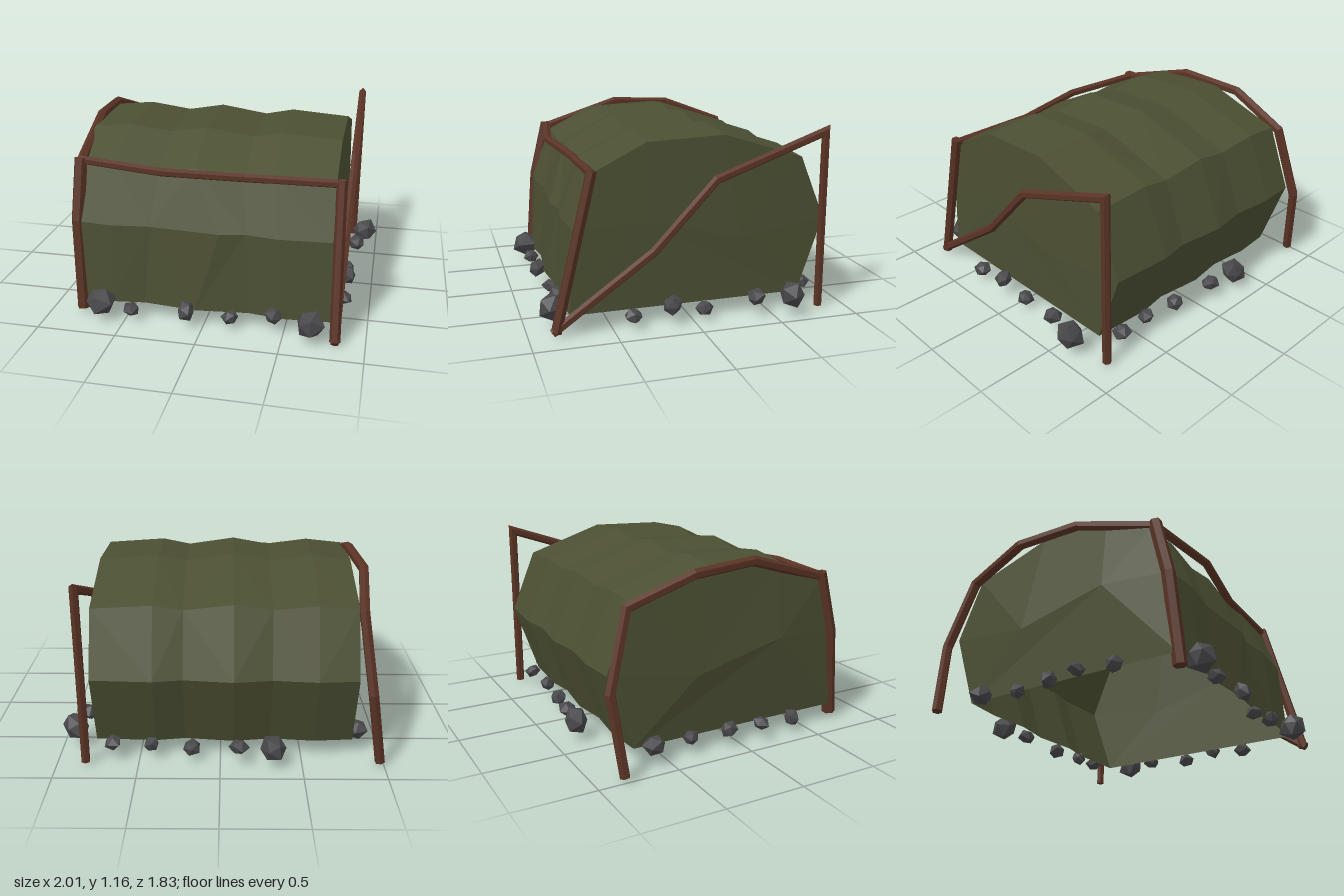
import * as THREE from 'three';

const canvasMat = new THREE.MeshStandardMaterial({ color: 0x4b4f32, flatShading: true, side: THREE.DoubleSide });
const woodMat = new THREE.MeshStandardMaterial({ color: 0x5a3325, flatShading: true });
const rockMat = new THREE.MeshStandardMaterial({ color: 0x48484b, flatShading: true });

const V = (a) => new THREE.Vector3(...a);

function meshFromTriangles(points, material, name) {
  const geo = new THREE.BufferGeometry().setFromPoints(points);
  geo.computeVertexNormals();
  const mesh = new THREE.Mesh(geo, material);
  mesh.name = name;
  return mesh;
}

// Mitred polygonal pole that follows a list of points
function pole(name, radius, path, sides = 6) {
  const p = path.map(V);
  const dirs = p.slice(1).map((q, i) => q.clone().sub(p[i]).normalize());
  const ref = Math.abs(dirs[0].y) > 0.9 ? V([1, 0, 0]) : V([0, 1, 0]);
  const u = ref.clone().cross(dirs[0]).normalize();
  const v = dirs[0].clone().cross(u);
  const rings = [[]];
  for (let k = 0; k < sides; k++) {
    const a = ((k + 0.5) / sides) * Math.PI * 2;
    rings[0].push(p[0].clone().addScaledVector(u, Math.cos(a) * radius).addScaledVector(v, Math.sin(a) * radius));
  }
  // slide each ring along its segment to the mitre plane of the next joint
  dirs.forEach((d, i) => {
    const n = d.clone().add(dirs[i + 1] || d).normalize();
    rings.push(rings[i].map((q) => {
      const t = p[i + 1].clone().sub(q).dot(n) / d.dot(n);
      return q.clone().addScaledVector(d, t);
    }));
  });
  const tri = [];
  const last = rings.length - 1;
  for (let k = 0; k < sides; k++) {
    const m = (k + 1) % sides;
    for (let i = 0; i < last; i++) {
      const a = rings[i][k], b = rings[i][m], c = rings[i + 1][m], d = rings[i + 1][k];
      tri.push(a, b, c, a, c, d);
    }
    tri.push(p[0], rings[0][m], rings[0][k], p[last], rings[last][k], rings[last][m]);
  }
  return meshFromTriangles(tri, woodMat, name);
}

// Canvas cover: one arched profile (z, y) swept over slack and taut columns
function buildCover() {
  const cover = new THREE.Group();
  cover.name = 'canvasCover';
  const profile = [
    [0.75, 0.11], [0.72, 0.62], [0.6, 0.95], [0.28, 1.11],
    [-0.2, 1.13], [-0.7, 0.97], [-0.86, 0.58], [-0.7, 0.11],
  ];
  // x at the top, x at the front hem, outward bulge
  const columns = [
    [-0.82, -0.82, 0], [-0.58, -0.6, 0.022], [-0.31, -0.38, -0.008], [-0.08, -0.05, 0.028],
    [0.22, 0.28, -0.01], [0.4, 0.5, 0.022], [0.77, 0.78, 0],
  ];
  const grid = columns.map(([xTop, xHem, bulge], c) => profile.map(([z, y], r) => {
    const hem = r === 0 ? 1 : r === 1 ? 0.5 : 0;
    const sway = r === 1 && c === 3 ? 0.16 : 0;
    const dy = y > 0.2 ? bulge * y : 0;
    return V([xTop + (xHem - xTop) * hem + sway, y + dy * (y > 0.9 ? 1 : 0), z + Math.sign(z) * bulge * (y < 0.9 ? 0.9 : 0.2)]);
  }));
  const shell = [];
  for (let c = 0; c < columns.length - 1; c++) {
    for (let r = 0; r < profile.length - 1; r++) {
      const a = grid[c][r], b = grid[c + 1][r], d = grid[c][r + 1], e = grid[c + 1][r + 1];
      if ((c + r) % 2) shell.push(a, b, e, a, e, d);
      else shell.push(a, b, d, b, e, d);
    }
  }
  cover.add(meshFromTriangles(shell, canvasMat, 'coverShell'));

  // End walls: fans around a ridge of two slightly bulged points
  const endWall = (rim, x, side, name) => {
    const f = V([x, 0.64, 0.28]), b = V([x + side * 0.004, 0.5, -0.3]);
    const tri = [];
    const add = (p, q, s) => (side > 0 ? tri.push(p, q, s) : tri.push(q, p, s));
    for (let r = 0; r < rim.length - 1; r++) add(rim[r], rim[r + 1], r < 3 ? f : b);
    add(rim[3], b, f);
    add(rim[rim.length - 1], rim[0], f);
    add(b, rim[rim.length - 1], f);
    cover.add(meshFromTriangles(tri, canvasMat, name));
  };
  endWall(grid[columns.length - 1], 0.785, 1, 'leftEndWall');
  endWall(grid[0], -0.865, -1, 'rightEndWall');
  return cover;
}

// Rough stone: icosahedron with its corners pushed in and out
function stone([x, y, z, r], index) {
  const geo = new THREE.IcosahedronGeometry(r, 0);
  const pos = geo.attributes.position;
  const p = new THREE.Vector3();
  for (let i = 0; i < pos.count; i++) {
    p.fromBufferAttribute(pos, i);
    const n = p.clone().divideScalar(r);
    const k = 1 + 0.2 * Math.sin(n.x * 5.1 + n.y * 8.3 + n.z * 6.7 + index * 2.4);
    pos.setXYZ(i, p.x * k, p.y * k * 0.95, p.z * k);
  }
  geo.computeVertexNormals();
  geo.rotateY(index * 1.3);
  const mesh = new THREE.Mesh(geo, rockMat);
  mesh.position.set(x, y, z);
  mesh.name = 'stone';
  return mesh;
}

export function createModel() {
  const model = new THREE.Group();
  model.name = 'shelter';
  model.add(buildCover());

  // Wooden frame
  const frame = new THREE.Group();
  frame.name = 'woodenFrame';
  frame.add(
    pole('frontRightPost', 0.042, [[-0.8, 1.0, 0.61], [-0.81, 0.62, 0.7], [-0.79, 0.04, 0.75]]),
    pole('frontLeftPost', 0.033, [[0.8, 0.97, 0.61], [0.82, 0.03, 0.84]]),
    pole('frontBeam', 0.027, [[-0.82, 0.985, 0.6], [-0.27, 0.97, 0.685], [0.22, 0.945, 0.615], [0.82, 0.95, 0.61]]),
    pole('rightBeamAndRearPost', 0.032, [
      [-0.8, 0.97, 0.62], [-0.845, 1.135, 0.08], [-0.885, 1.11, -0.34],
      [-0.84, 0.96, -0.74], [-0.9, 0.5, -0.875], [-0.975, 0.03, -0.83],
    ]),
    pole('leftBraceAndRearPost', 0.028, [
      [0.82, 0.03, 0.86], [0.825, 0.47, 0.25], [0.835, 0.88, -0.13],
      [0.83, 1.13, -0.82], [0.825, 0.02, -0.825],
    ]),
  );
  model.add(frame);

  // Stones weighing down the hem: x, y, z, radius
  const stones = new THREE.Group();
  stones.name = 'hemStones';
  [
    [-0.66, 0.14, 0.81, 0.095], [-0.45, 0.085, 0.8, 0.053], [-0.1, 0.12, 0.81, 0.058],
    [0.17, 0.085, 0.76, 0.055], [0.44, 0.12, 0.77, 0.06], [0.66, 0.14, 0.83, 0.09],
    [0.84, 0.09, 0.38, 0.055], [0.84, 0.13, 0.14, 0.058], [0.83, 0.09, -0.07, 0.055],
    [0.87, 0.13, -0.38, 0.06], [0.91, 0.15, -0.6, 0.085],
    [0.66, 0.13, -0.78, 0.055], [0.42, 0.1, -0.76, 0.05], [0.18, 0.1, -0.78, 0.055],
    [-0.11, 0.12, -0.82, 0.06], [-0.32, 0.13, -0.85, 0.08],
    [-0.86, 0.13, -0.58, 0.07], [-0.84, 0.1, -0.33, 0.05], [-0.86, 0.12, -0.08, 0.053],
    [-0.89, 0.12, 0.14, 0.055], [-0.87, 0.1, 0.38, 0.053],
  ].forEach((s, i) => stones.add(stone(s, i)));
  model.add(stones);
  return model;
}
